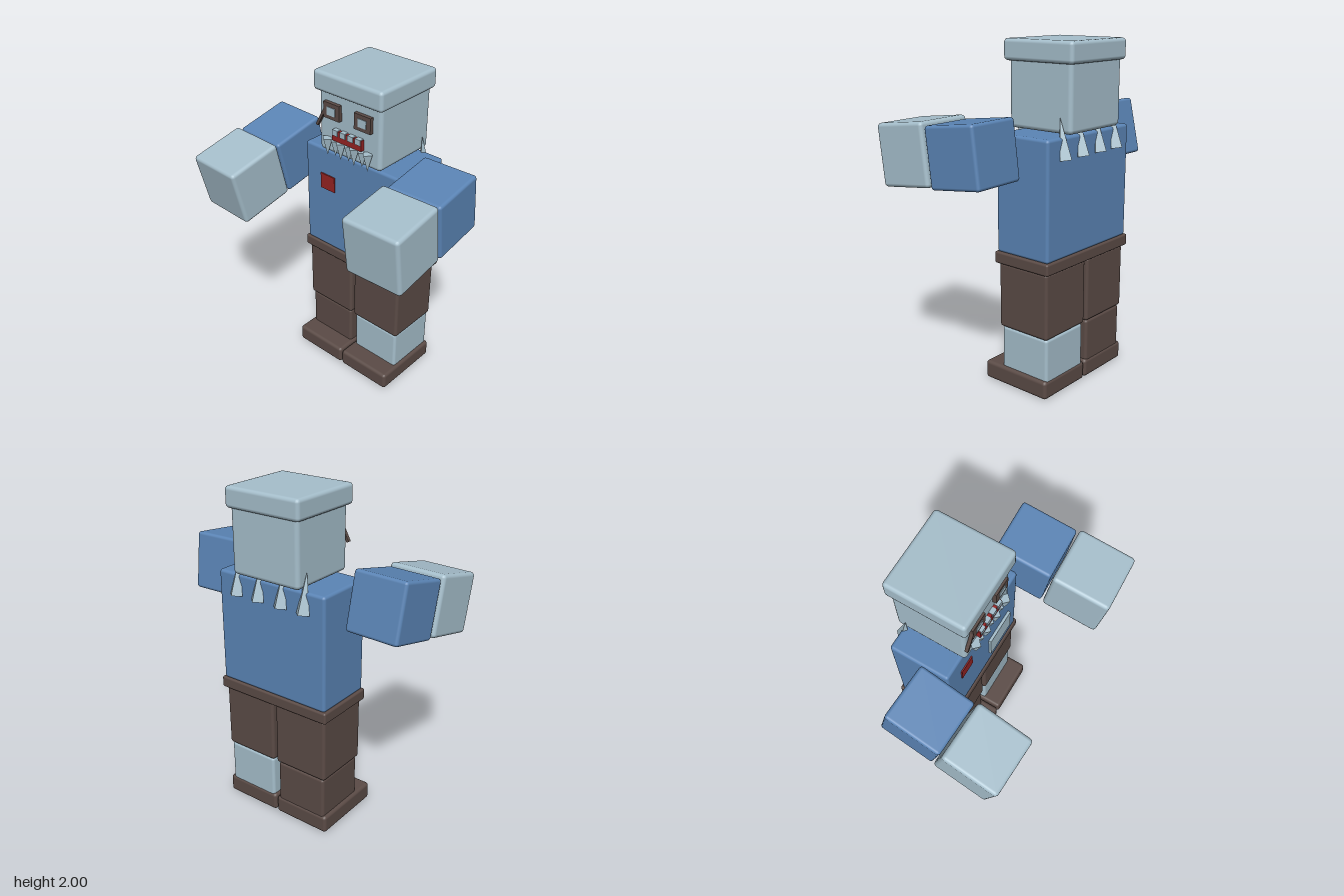
import * as THREE from 'three';
import { RoundedBoxGeometry } from 'three/addons/geometries/RoundedBoxGeometry.js';

const paint = (name, color) => {
  const m = new THREE.MeshStandardMaterial({ color });
  m.name = name;
  return m;
};

export function createModel() {
  const model = new THREE.Group();
  model.name = 'blockFigure';
  const skin = paint('paleBlue', 0xa6bfcc);
  const shirt = paint('shirtBlue', 0x5b85b6);
  const brown = paint('darkBrown', 0x5b4b46);
  const red = paint('darkRed', 0x962323);

  const add = (parent, name, geometry, material, x, y, z) => {
    const mesh = new THREE.Mesh(geometry, material);
    mesh.name = name;
    mesh.position.set(x, y, z);
    parent.add(mesh);
    return mesh;
  };
  // Rounded block and sharp plate, given by their limits on each axis
  const block = (parent, name, mat, [x0, x1], [y0, y1], [z0, z1], r = 0.018) =>
    add(parent, name, new RoundedBoxGeometry(x1 - x0, y1 - y0, z1 - z0, 2, r), mat,
      (x0 + x1) / 2, (y0 + y1) / 2, (z0 + z1) / 2);
  const plate = (parent, name, mat, [x0, x1], [y0, y1], [z0, z1]) =>
    add(parent, name, new THREE.BoxGeometry(x1 - x0, y1 - y0, z1 - z0), mat,
      (x0 + x1) / 2, (y0 + y1) / 2, (z0 + z1) / 2);
  const spike = (parent, name, mat, r, h, x, y, z) =>
    add(parent, name, new THREE.ConeGeometry(r, h, 4).toNonIndexed(), mat, x, y, z);

  // Torso, belt and patches
  const body = new THREE.Group();
  body.name = 'body';
  model.add(body);
  block(body, 'torso', shirt, [-0.37, 0.37], [0.82, 1.5], [-0.43, -0.062]);
  block(body, 'belt', brown, [-0.383, 0.383], [0.755, 0.825], [-0.44, -0.053], 0.012);
  plate(body, 'chestPatch', red, [-0.245, -0.135], [1.23, 1.33], [-0.062, -0.054]);
  plate(body, 'bellyPatch', skin, [0.053, 0.277], [0.96, 1.15], [-0.062, -0.045]);
  const hem = spike(body, 'shirtTatter', shirt, 0.035, 0.11, 0, 0.74, -0.245);
  hem.rotation.x = Math.PI;

  // Legs: only the left shin is bare
  for (const [side, s, shin] of [['right', -1, brown], ['left', 1, skin]]) {
    const leg = new THREE.Group();
    leg.name = side + 'Leg';
    model.add(leg);
    const span = (a, b) => (s > 0 ? [a, b] : [-b, -a]);
    block(leg, 'thigh', brown, span(0.01, 0.363), [0.365, 0.757], [-0.42, -0.07]);
    block(leg, 'shin', shin, span(0.02, 0.352), [0.09, 0.365], [-0.413, -0.08]);
    block(leg, 'foot', brown, span(0.004, 0.372), [0.005, 0.115], [-0.42, 0.04], 0.02);
  }

  // Arms reach forward, the right one drooping more
  const arms = [
    ['left', 0.12, 0.04, [0.565, 1.415, -0.075], [0.575, 1.388, 0.285]],
    ['right', 0.225, -0.04, [-0.565, 1.395, -0.078], [-0.577, 1.33, 0.275]],
  ];
  for (const [side, pitch, yaw, upper, hand] of arms) {
    const arm = new THREE.Group();
    arm.name = side + 'Arm';
    model.add(arm);
    const sleeve = add(arm, 'sleeve', new RoundedBoxGeometry(0.337, 0.345, 0.345, 2, 0.018), shirt, ...upper);
    const fist = add(arm, 'hand', new RoundedBoxGeometry(0.357, 0.357, 0.35, 2, 0.022), skin, ...hand);
    for (const m of [sleeve, fist]) m.rotation.set(pitch, yaw, 0, 'YXZ');
  }

  // Head with flat overhanging top
  const head = new THREE.Group();
  head.name = 'head';
  model.add(head);
  block(head, 'skull', skin, [-0.228, 0.228], [1.51, 1.9], [-0.468, -0.035], 0.025);
  block(head, 'crown', skin, [-0.249, 0.249], [1.88, 2], [-0.488, -0.007], 0.022);

  // Eyes, scar, mouth and teeth
  for (const x of [-0.115, 0.112]) {
    plate(head, 'eyeFrame', brown, [x - 0.059, x + 0.059], [1.734, 1.83], [-0.036, -0.012]);
    plate(head, 'eye', skin, [x - 0.03, x + 0.03], [1.757, 1.806], [-0.014, -0.008]);
  }
  const scar = add(head, 'scar', new THREE.BoxGeometry(0.016, 0.13, 0.02), brown, -0.198, 1.725, -0.022);
  scar.rotation.z = -0.5;
  plate(head, 'mouth', red, [-0.11, 0.108], [1.61, 1.675], [-0.036, -0.012]);
  for (const x of [-0.085, -0.028, 0.03, 0.085])
    plate(head, 'tooth', skin, [x - 0.019, x + 0.019], [1.645, 1.68], [-0.036, -0.006]);

  // Beard of downward spikes, every other one set back
  for (let i = 0; i < 7; i++) {
    const back = i % 2;
    const s = spike(head, 'beardSpike', skin, 0.035, back ? 0.1 : 0.11,
      -0.15 + i * 0.05, 1.555, back ? -0.03 : -0.018);
    s.rotation.x = Math.PI;
  }

  // Ragged hair spikes flaring out at the nape
  for (const x of [-0.235, -0.08, 0.08, 0.235]) {
    const s = spike(head, 'napeSpike', skin, 0.045, 0.23, x, 1.49, -0.42);
    s.rotation.x = 0.17;
  }

  // Facet the spikes
  model.traverse((o) => {
    if (o.isMesh && o.geometry.type === 'BufferGeometry' || o.isMesh && /[sS]pike|Tatter/.test(o.name))
      o.geometry.computeVertexNormals();
  });
  return model;
}
